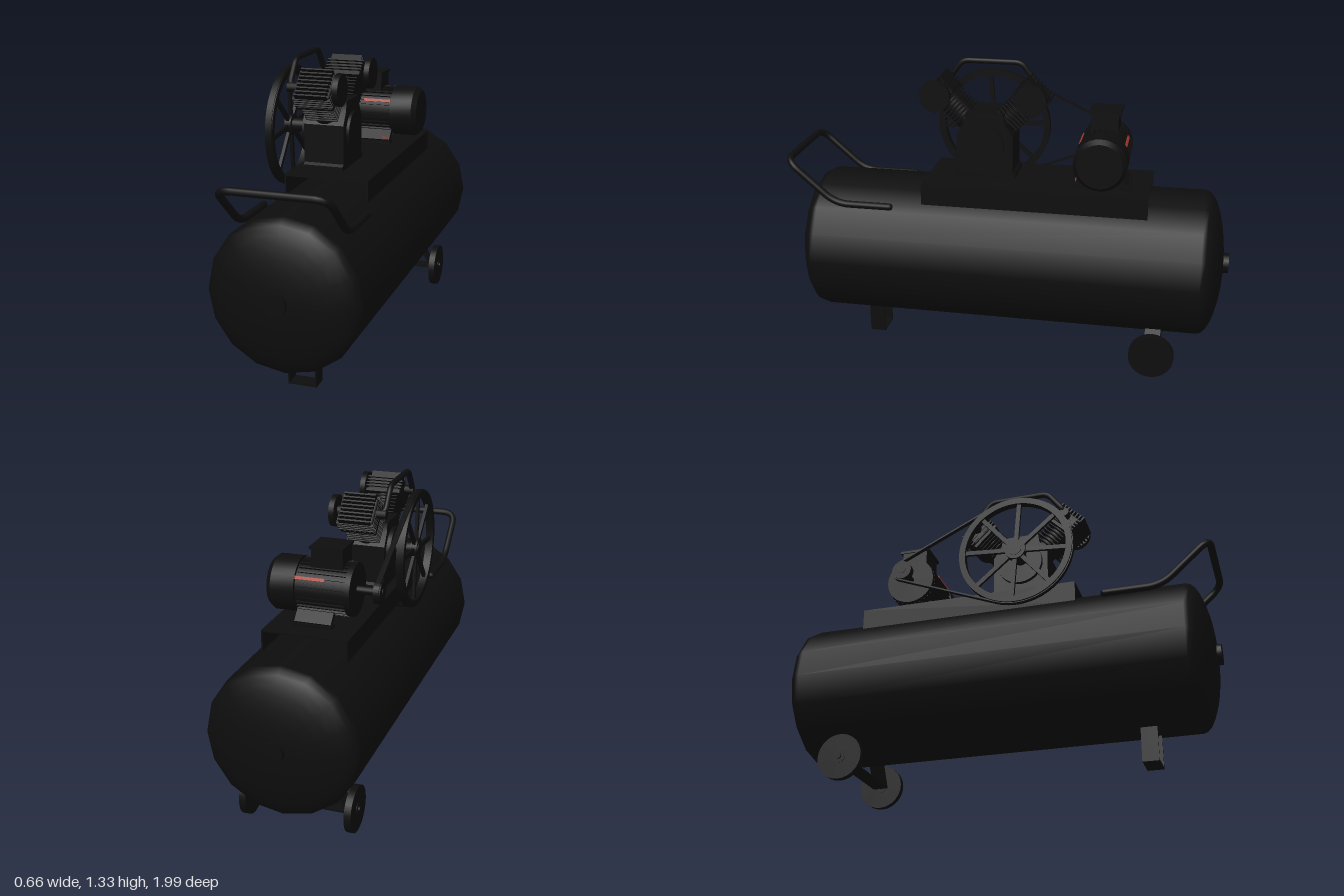
import * as THREE from 'three';
import { toCreasedNormals } from 'three/addons/utils/BufferGeometryUtils.js';
import { RoundedBoxGeometry } from 'three/addons/geometries/RoundedBoxGeometry.js';

const black = new THREE.MeshStandardMaterial({ color: 0x0d0d0d });
black.name = 'black paint';
const red = new THREE.MeshStandardMaterial({ color: 0xa83a2c });
red.name = 'red label';

function add(parent, name, geo, x = 0, y = 0, z = 0, mat = black) {
  const m = new THREE.Mesh(geo, mat);
  m.name = name;
  m.position.set(x, y, z);
  parent.add(m);
  return m;
}
const group = (parent, name, x = 0, y = 0, z = 0) => {
  const g = new THREE.Group();
  g.name = name;
  g.position.set(x, y, z);
  parent.add(g);
  return g;
};
const box = (w, h, d) => new THREE.BoxGeometry(w, h, d);
const cylX = (r, len, n = 28) => new THREE.CylinderGeometry(r, r, len, n).rotateZ(Math.PI / 2);
const cylZ = (r, len, n = 20) => new THREE.CylinderGeometry(r, r, len, n).rotateX(Math.PI / 2);

// Profile drawn in (-z, y), extruded along x and centred on it
function extrudeX(shape, width) {
  const g = new THREE.ExtrudeGeometry(shape, { depth: width, bevelEnabled: false, curveSegments: 40 });
  return toCreasedNormals(g.translate(0, 0, -width / 2).rotateY(Math.PI / 2), 0.5);
}

// Flat bar bent along a line of (x, y) points
function strip(parent, name, pts, t, width, z) {
  const g = group(parent, name, 0, 0, z);
  for (let i = 0; i + 1 < pts.length; i++) {
    const [ax, ay] = pts[i], [bx, by] = pts[i + 1];
    const m = add(g, name + 'Bar', box(Math.hypot(bx - ax, by - ay) + t, t, width), (ax + bx) / 2, (ay + by) / 2);
    m.rotation.z = Math.atan2(by - ay, bx - ax);
  }
}

// Round tube through points, with rounded corners and closed ends
function pipe(parent, name, pts, r, bend) {
  const p = pts.map(a => new THREE.Vector3(...a)), path = new THREE.CurvePath();
  let from = p[0];
  for (let i = 1; i < p.length - 1; i++) {
    const a = p[i].clone().add(p[i - 1].clone().sub(p[i]).setLength(bend));
    const b = p[i].clone().add(p[i + 1].clone().sub(p[i]).setLength(bend));
    path.add(new THREE.LineCurve3(from, a));
    path.add(new THREE.QuadraticBezierCurve3(a, p[i], b));
    from = b;
  }
  path.add(new THREE.LineCurve3(from, p[p.length - 1]));
  add(parent, name, new THREE.TubeGeometry(path, 90, r, 12));
  for (const e of [p[0], p[p.length - 1]]) add(parent, name + 'End', new THREE.SphereGeometry(r, 12, 8), e.x, e.y, e.z);
}

function buildTank(root) {
  const R = 0.328, half = 0.865, dome = 0.1, pts = [];
  for (let i = 0; i <= 8; i++) {
    const a = (i / 8) * Math.PI / 2;
    pts.push(new THREE.Vector2(R * Math.sin(a), -half - dome * Math.cos(a)));
  }
  const all = [...pts, ...pts.slice().reverse().map(p => new THREE.Vector2(p.x, -p.y))];
  add(root, 'tank', new THREE.LatheGeometry(all, 16).rotateX(Math.PI / 2), 0, 0.477, -0.008);
  for (const s of [-1, 1]) add(root, 'endPlug', cylZ(0.046, 0.06), 0, 0.48, -0.01 + s * 0.956);

  strip(root, 'mountChannel', [[-0.184, 0.735], [-0.184, 0.829], [0.184, 0.829], [0.184, 0.735]], 0.007, 1.01, -0.127);
  strip(root, 'frontLeg', [[-0.06, 0.19], [-0.06, 0.014], [0.06, 0.014], [0.06, 0.19]], 0.007, 0.072, 0.65);
  strip(root, 'axleBracket', [[-0.15, 0.21], [-0.215, 0.096], [0.215, 0.096], [0.15, 0.21]], 0.008, 0.07, -0.68);
  for (const s of [-1, 1]) {
    add(root, 'wheel', cylX(0.102, 0.03), s * 0.234, 0.102, -0.68);
    add(root, 'wheelHub', cylX(0.03, 0.034, 16), s * 0.234, 0.102, -0.68);
    add(root, 'axleEnd', cylX(0.012, 0.05, 12), s * 0.234, 0.102, -0.68);
  }

  const side = [[0.228, 0.733, 0.515], [0.228, 0.733, 0.765], [0.228, 0.925, 0.982]];
  pipe(root, 'handle', [...side, ...side.slice().reverse().map(([x, y, z]) => [-x, y, z])], 0.016, 0.065);
}

function buildPump(root) {
  const pump = group(root, 'pump', -0.055, 0, 0.118);
  // Crankcase
  const outline = [[0.14, 0.83], [0.14, 0.85], [0.128, 0.86], [0.128, 1.03], [0.09, 1.09], [0.085, 1.13]];
  const pts = [...outline, ...outline.slice().reverse().map(([u, v]) => [-u, v])].map(p => new THREE.Vector2(...p));
  add(pump, 'crankcase', extrudeX(new THREE.Shape(pts), 0.18));
  add(pump, 'bearingCover', cylX(0.105, 0.03), -0.094, 0.985, 0);
  add(pump, 'sideCover', cylX(0.09, 0.02), 0.093, 0.985, 0);

  // Two finned cylinders in a V, each with its head and air filter
  for (const s of [-1, 1]) {
    const arm = group(pump, s > 0 ? 'frontCylinder' : 'rearCylinder', 0, 0.99, 0.004);
    arm.rotation.x = s * Math.PI / 4;
    add(arm, 'barrel', new THREE.CylinderGeometry(0.056, 0.056, 0.16, 24), 0, 0.18, 0);
    for (let i = 0; i < 6; i++) add(arm, 'barrelFin', new RoundedBoxGeometry(0.145, 0.006, 0.122, 2, 0.003), 0, 0.15 + i * 0.017, 0);
    add(arm, 'headGasket', box(0.16, 0.014, 0.14), 0, 0.252, 0);
    add(arm, 'head', new RoundedBoxGeometry(0.165, 0.075, 0.13, 2, 0.012), 0, 0.293, 0);
    for (let i = 0; i < 8; i++) add(arm, 'headFin', box(0.142, 0.03, 0.007), 0, 0.337, -0.066 + i * 0.0189);
    for (let i = 0; i < 4; i++) add(arm, 'headSideFin', box(0.168, 0.006, 0.148), 0, 0.272 + i * 0.016, 0);
    add(arm, 'filterNeck', cylX(0.025, 0.04, 16), 0.092, 0.305, 0);
    add(arm, 'airFilter', cylX(0.07, 0.024), 0.106, 0.305, 0);
    add(arm, 'pipeFitting', cylX(0.021, 0.05, 12), -0.1, 0.305, 0);
  }
  // Pipe bridging both heads
  pipe(pump, 'headPipe', [[-0.08, 1.212, 0.22], [-0.118, 1.212, 0.22], [-0.118, 1.318, 0.14],
    [-0.118, 1.318, -0.132], [-0.118, 1.212, -0.212], [-0.08, 1.212, -0.212]], 0.013, 0.03);
}

function buildFlywheel(root) {
  const cy = 0.995, cz = 0.126, fly = group(root, 'flywheel', -0.253, cy, cz);
  const ring = new THREE.Shape().absarc(0, 0, 0.264, 0, Math.PI * 2);
  ring.holes.push(new THREE.Path().absarc(0, 0, 0.236, 0, Math.PI * 2, true));
  add(fly, 'rim', extrudeX(ring, 0.034));
  for (let i = 0; i < 8; i++) {
    const a = i * Math.PI / 4 + 0.08;
    add(fly, 'spoke', box(0.014, 0.22, 0.02), 0, Math.cos(a) * 0.135, Math.sin(a) * 0.135).rotation.x = a;
  }
  add(fly, 'hub', cylX(0.048, 0.03), 0, 0, 0);
  add(fly, 'shaft', cylX(0.03, 0.13, 20), 0.047, 0, 0);

  // Belt loop around flywheel and motor pulley
  const my = 0.975, mz = -0.418, loop = (R, r, P) => {
    const du = cz - mz, dv = my - cy, th = Math.atan2(dv, du), al = Math.acos((R - r) / Math.hypot(du, dv));
    const s = new P();
    s.absarc(-cz, cy, R, th + al, th - al + Math.PI * 2, false);
    s.absarc(-mz, my, r, th - al, th + al, false);
    s.closePath();
    return s;
  };
  const belt = loop(0.268, 0.05, THREE.Shape);
  belt.holes.push(loop(0.261, 0.043, THREE.Path));
  add(root, 'belt', extrudeX(belt, 0.022), -0.251);
  add(root, 'motorPulley', cylX(0.045, 0.032), -0.251, my, mz);
}

function buildMotor(root) {
  const motor = group(root, 'motor', 0, 0.975, -0.418);
  add(motor, 'motorShaft', cylX(0.018, 0.14, 14), -0.2, 0, 0);
  add(motor, 'motorBody', cylX(0.108, 0.22, 32), -0.03, 0, 0);
  add(motor, 'endBell', cylX(0.113, 0.025, 32), -0.145, 0, 0);
  for (let i = 0; i < 32; i++) {
    const a = (i / 32) * Math.PI * 2;
    add(motor, 'coolingFin', box(0.21, 0.014, 0.005), -0.03, Math.cos(a) * 0.109, Math.sin(a) * 0.109).rotation.x = a;
  }
  // Fan cowl with a chamfered rear edge
  const cowl = [[0, 0.082], [0.118, 0.082], [0.118, 0.185], [0.1, 0.207], [0, 0.207]].map(p => new THREE.Vector2(...p));
  add(motor, 'fanCowl', toCreasedNormals(new THREE.LatheGeometry(cowl, 32).rotateZ(-Math.PI / 2), 0.5));
  // Terminal box
  add(motor, 'terminalBox', box(0.135, 0.09, 0.12), -0.045, 0.135, 0);
  add(motor, 'terminalLid', box(0.145, 0.012, 0.142), -0.045, 0.182, 0);
  for (const s of [-1, 1]) {
    // Splayed feet and label plates
    add(motor, 'footLeg', box(0.16, 0.075, 0.022), 0.0, -0.105, s * 0.082).rotation.x = -s * 0.75;
    add(motor, 'footPad', box(0.17, 0.014, 0.05), 0.0, -0.138, s * 0.1);
    const a = s * 1.03;
    add(motor, 'label', box(0.13, 0.004, 0.013), 0.015, Math.cos(a) * 0.118, Math.sin(a) * 0.118, red).rotation.x = a;
  }
  add(motor, 'footLabel', box(0.035, 0.007, 0.004), 0.063, -0.115, 0.117, red);
}

export function createModel() {
  const root = new THREE.Group();
  root.name = 'airCompressor';
  buildTank(root);
  buildPump(root);
  buildFlywheel(root);
  buildMotor(root);
  return root;
}
